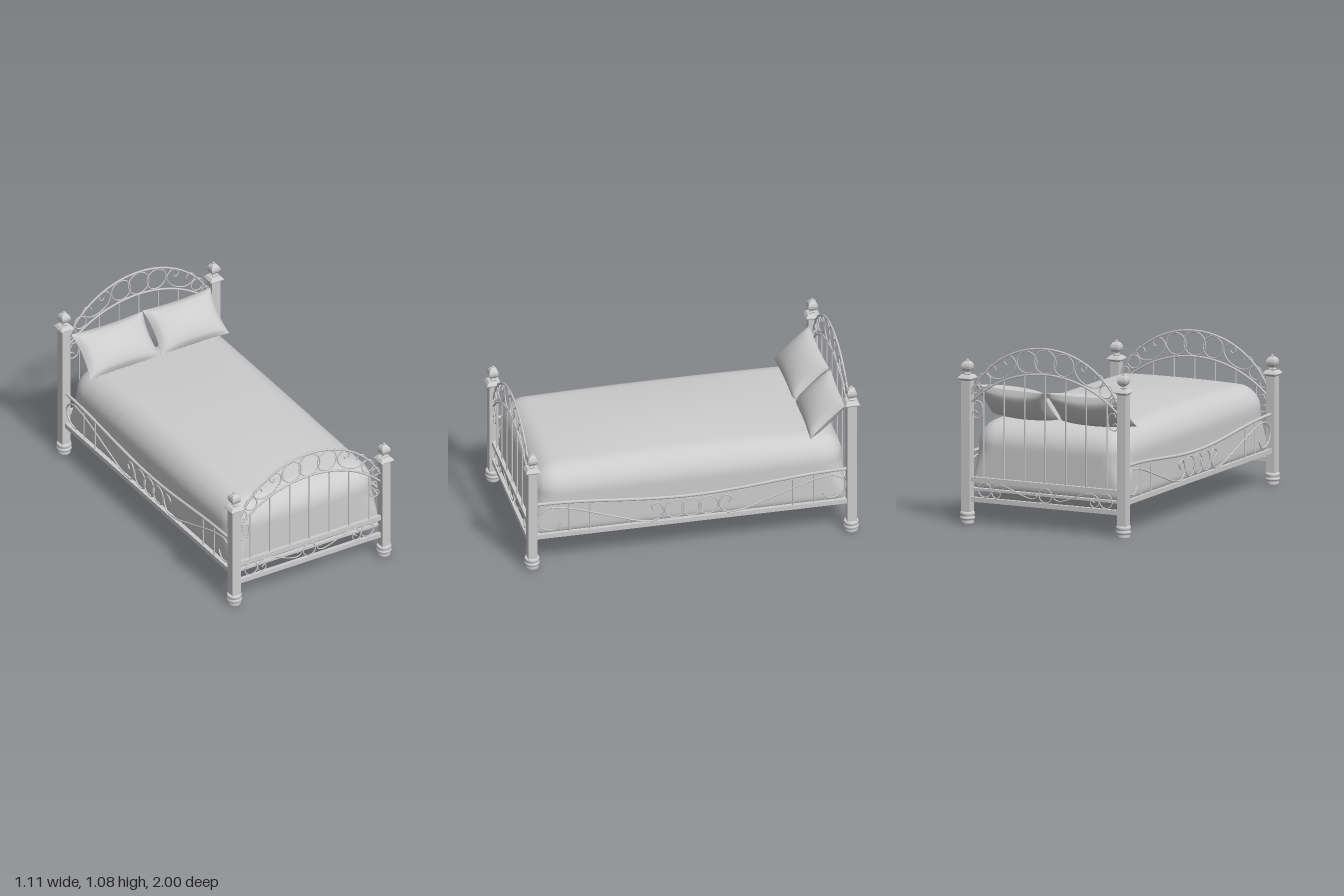
import * as THREE from 'three';

const grey = new THREE.MeshStandardMaterial({ color: 0xcccccc });
grey.name = 'plain grey';

function add(parent, geometry, name, x = 0, y = 0, z = 0) {
  const mesh = new THREE.Mesh(geometry, grey);
  mesh.name = name;
  mesh.position.set(x, y, z);
  parent.add(mesh);
  return mesh;
}

function group(parent, name, x = 0, y = 0, z = 0) {
  const g = new THREE.Group();
  g.name = name;
  g.position.set(x, y, z);
  parent.add(g);
  return g;
}

// Bent rod through flat [x, y] points
function rod(parent, points, name, radius = 0.004, mirror = 1) {
  const curve = new THREE.CatmullRomCurve3(points.map(([x, y]) => new THREE.Vector3(x * mirror, y, 0)));
  return add(parent, new THREE.TubeGeometry(curve, points.length * 6, radius, 6), name);
}

function ring(parent, x, y, r, name = 'ring') {
  return add(parent, new THREE.TorusGeometry(r, 0.004, 6, 32), name, x, y);
}

const lathe = (profile, sides, start = 0) =>
  new THREE.LatheGeometry(profile.map(([r, y]) => new THREE.Vector2(r, y)), sides, start);

// Four-sided turned piece with flat sides; profile gives half widths
function squareTurned(profile) {
  const g = lathe(profile.map(([r, y]) => [r * Math.SQRT2, y]), 4, Math.PI / 4).toNonIndexed();
  g.computeVertexNormals();
  return g;
}

// Post with turned foot, square cap and finial
function post(parent, x, z, height) {
  const p = group(parent, 'post', x, 0, z);
  add(p, new THREE.BoxGeometry(0.056, height - 0.06, 0.056), 'postShaft', 0, (height + 0.06) / 2, 0);
  add(p, lathe([[0, 0], [0.036, 0], [0.039, 0.004], [0.039, 0.018], [0.036, 0.023], [0.043, 0.027],
    [0.046, 0.034], [0.043, 0.041], [0.037, 0.045], [0.042, 0.05], [0.044, 0.06], [0.041, 0.071], [0, 0.073]], 20), 'foot');
  add(p, squareTurned([[0.028, -0.008], [0.033, 0], [0.044, 0.005], [0.044, 0.009], [0.034, 0.022],
    [0.03, 0.026], [0, 0.027]]), 'cap', 0, height, 0);
  add(p, squareTurned([[0.012, 0.024], [0.017, 0.032], [0.012, 0.038], [0.012, 0.044], [0.02, 0.05],
    [0.027, 0.063], [0.029, 0.077], [0.025, 0.092], [0.015, 0.104], [0.006, 0.108], [0.007, 0.114],
    [0, 0.122]]), 'finial', 0, height, 0);
}

// Circular arch from its crown height and drop at the posts
const SPAN = 0.485;
function archHeight(x, top, drop) {
  const R = (SPAN * SPAN + drop * drop) / (2 * drop);
  return top - R + Math.sqrt(R * R - x * x);
}
function arch(parent, top, drop, name) {
  const pts = [];
  for (let i = 0; i <= 16; i++) {
    const x = SPAN * (i / 8 - 1);
    pts.push([x, archHeight(x, top, drop)]);
  }
  rod(parent, pts, name, 0.0065);
}

const archScroll = [[0.323, 0.713], [0.335, 0.737], [0.365, 0.737], [0.38, 0.71], [0.362, 0.677],
  [0.323, 0.663], [0.263, 0.677], [0.207, 0.722], [0.192, 0.77], [0.225, 0.805], [0.26, 0.793],
  [0.269, 0.767], [0.248, 0.752], [0.234, 0.77]];
const postScroll = [[0.46, 0.499], [0.451, 0.522], [0.421, 0.513], [0.409, 0.478], [0.421, 0.433],
  [0.457, 0.421], [0.475, 0.445], [0.457, 0.463], [0.442, 0.451]];
const lowScroll = [[0.323, 0.189], [0.302, 0.204], [0.296, 0.18], [0.32, 0.162], [0.347, 0.18],
  [0.344, 0.219], [0.293, 0.243], [0.219, 0.222], [0.144, 0.192], [0.085, 0.18], [0.055, 0.195],
  [0.067, 0.216], [0.082, 0.201]];
const sideScroll = [[0.78, 0.278], [0.818, 0.235], [0.898, 0.257], [0.92, 0.326], [0.861, 0.38],
  [0.754, 0.374], [0.46, 0.278], [0.3, 0.227], [0.203, 0.225], [0.166, 0.283], [0.198, 0.337],
  [0.24, 0.315], [0.22, 0.283]];

// Headboard or footboard: rails, arches, spindles, rings and scrolls
function endBoard(parent, name, z, lift) {
  const b = group(parent, name, 0, 0, z);
  add(b, new THREE.BoxGeometry(0.98, 0.028, 0.022), 'upperRail', 0, 0.265, 0);
  add(b, new THREE.BoxGeometry(0.98, 0.028, 0.022), 'lowerRail', 0, 0.146, 0);
  const top = group(b, 'archedTop', 0, lift, 0);
  arch(top, 0.866, 0.305, 'outerArch');
  arch(top, 0.713, 0.2, 'innerArch');
  ring(top, 0, 0.788, 0.071);
  ring(b, 0, 0.205, 0.042);
  for (const s of [-1, 1]) {
    ring(top, s * 0.12, 0.778, 0.065);
    ring(top, s * 0.398, 0.648, 0.04);
    ring(top, s * 0.453, 0.59, 0.025);
    ring(b, s * 0.396, 0.205, 0.042);
    rod(top, archScroll, 'archScroll', 0.004, s);
    rod(top, postScroll, 'postScroll', 0.004, s);
    rod(b, lowScroll, 'lowScroll', 0.0035, s);
  }
  for (let i = -3; i <= 3; i++) {
    const x = i * 0.1345, y = archHeight(x, 0.713, 0.2) + lift;
    add(b, new THREE.CylinderGeometry(0.0045, 0.0045, y - 0.27, 8), 'spindle', x, (y + 0.27) / 2, 0);
  }
}

// Side rail with sagging upper rail, scrolls and rings
function sideRail(parent, x) {
  const s = group(parent, 'sideRail', x, 0, 0);
  s.rotation.y = Math.PI / 2;
  add(s, new THREE.BoxGeometry(1.88, 0.028, 0.02), 'bottomRail', 0, 0.201, 0);
  const sag = [];
  for (let i = -6; i <= 6; i++) sag.push([i * 0.155, 0.362 + 0.056 * (1 - Math.cos(Math.PI * i / 6)) / 2]);
  rod(s, sag, 'saggingRail', 0.01);
  for (const z of [-0.1, 0, 0.1]) ring(s, z, 0.283, 0.058);
  for (const m of [-1, 1]) {
    rod(s, sideScroll, 'sideScroll', 0.005, m);
    for (const [z, h] of [[0.73, 0.19], [0.605, 0.175]])
      add(s, new THREE.CylinderGeometry(0.004, 0.004, h, 8), 'sideSpindle', m * z, 0.21 + h / 2, 0);
  }
}

// Soft block: wide rounding above, tight rounding below, domed top
function mattressGeometry() {
  const half = new THREE.Vector3(0.5, 0.2, 0.928);
  const g = new THREE.BoxGeometry(1, 0.4, 1.856, 40, 20, 60);
  const pos = g.attributes.position;
  const p = new THREE.Vector3(), inner = new THREE.Vector3(), lim = new THREE.Vector3();
  for (let i = 0; i < pos.count; i++) {
    p.fromBufferAttribute(pos, i);
    const r = THREE.MathUtils.lerp(0.03, 0.14, THREE.MathUtils.smoothstep(p.y, -0.2, 0.06));
    lim.copy(half).subScalar(r);
    inner.copy(p).clamp(lim.clone().negate(), lim);
    p.sub(inner).setLength(r).add(inner);
    const rise = THREE.MathUtils.smoothstep(p.y, 0, 0.2);
    p.y += rise * 0.045 * (1 - (p.x / 0.5) ** 2) * (1 - (p.z / 0.93) ** 2);
    pos.setXYZ(i, p.x, p.y, p.z);
  }
  g.computeVertexNormals();
  return g;
}

// Cushion with pinched corners and hollow edges
function pillowGeometry(w, h, t) {
  const g = new THREE.BoxGeometry(2, 2, 2, 24, 20, 1);
  const pos = g.attributes.position;
  for (let i = 0; i < pos.count; i++) {
    const u = pos.getX(i), v = pos.getY(i), side = Math.sign(pos.getZ(i));
    const puff = Math.pow((1 - u * u) * (1 - v * v), 0.5);
    pos.setXYZ(i, u * w / 2 * (1 - 0.07 * (1 - v * v)), v * h / 2 * (1 - 0.06 * (1 - u * u)), side * (t / 2 * puff + 0.001));
  }
  g.computeVertexNormals();
  return g;
}

export function createModel() {
  const bed = new THREE.Group();
  bed.name = 'bed';
  for (const x of [-0.51, 0.51]) {
    post(bed, x, 0.953, 0.65);
    post(bed, x, -0.953, 0.855);
    sideRail(bed, x);
  }
  endBoard(bed, 'footboard', 0.955, 0);
  endBoard(bed, 'headboard', -0.955, 0.208);
  add(bed, new THREE.BoxGeometry(1, 0.014, 1.88), 'basePanel', 0, 0.203, 0);
  add(bed, mattressGeometry(), 'mattress', 0, 0.403, 0);

  const left = add(bed, pillowGeometry(0.455, 0.29, 0.14), 'leftPillow', 0.245, 0.715, -0.83);
  left.rotation.set(-0.82, -0.04, 0);
  const right = add(bed, pillowGeometry(0.49, 0.29, 0.14), 'rightPillow', -0.232, 0.712, -0.826);
  right.rotation.set(-0.82, 0.02, 0);
  return bed;
}
